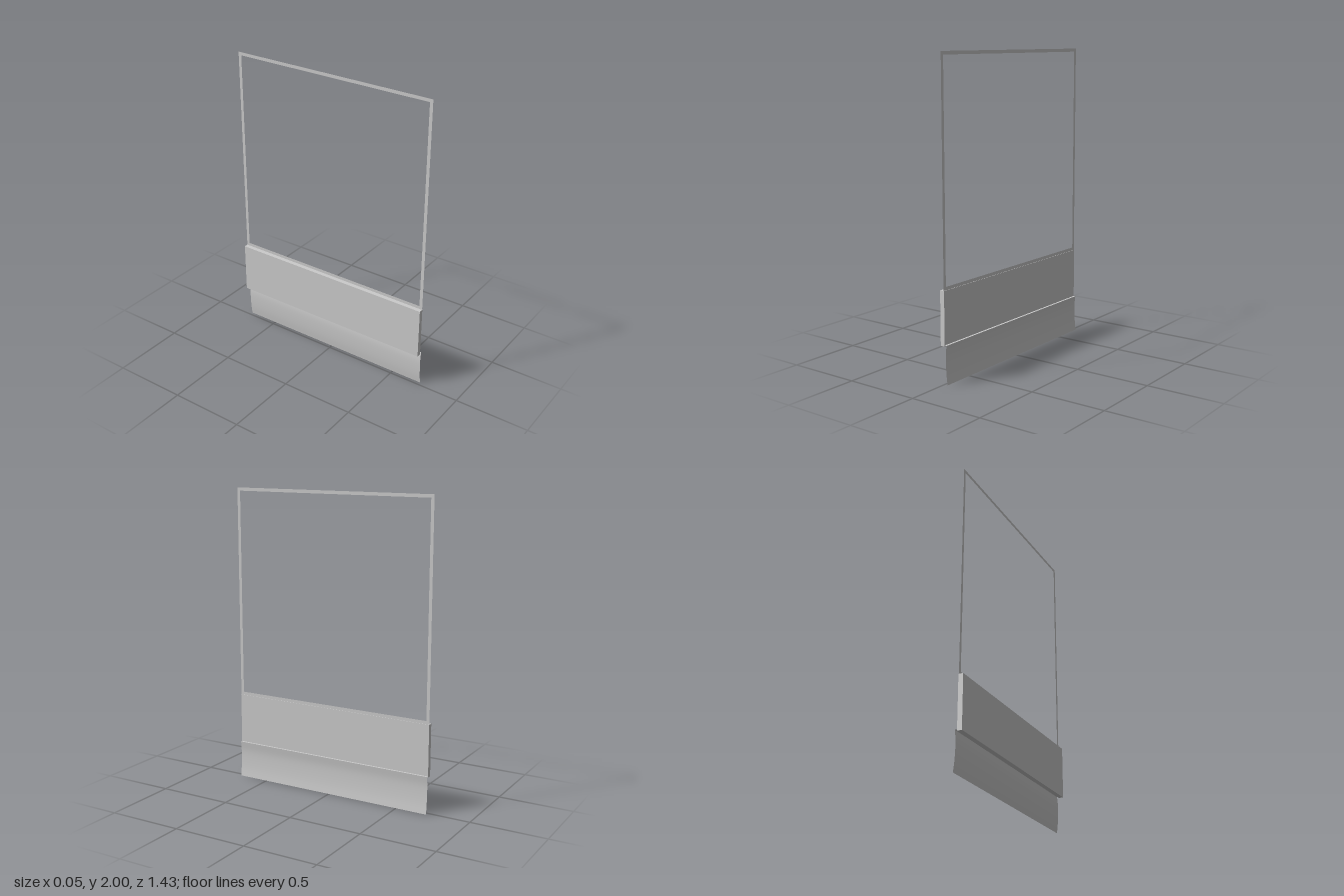
import * as THREE from 'three';

const HALF = 0.713; // half length along z

export function createModel() {
  const group = new THREE.Group();
  const solid = new THREE.MeshStandardMaterial({ color: 0xcccccc });
  const sheet = new THREE.MeshStandardMaterial({ color: 0xcccccc, side: THREE.DoubleSide });
  const add = (name, geometry, material) => {
    const mesh = new THREE.Mesh(geometry, material);
    mesh.name = name;
    group.add(mesh);
    return mesh;
  };

  // rectangle outline, wound either way
  const rect = (path, w, y0, y1) =>
    path.moveTo(-w, y0).lineTo(w, y0).lineTo(w, y1).lineTo(-w, y1).closePath();

  // thin flat window frame standing in the yz plane
  const outline = rect(new THREE.Shape(), HALF, 0.585, 2);
  outline.holes.push(rect(new THREE.Path(), HALF - 0.021, 0.606, 1.979));
  const frame = new THREE.ShapeGeometry(outline);
  frame.rotateY(Math.PI / 2);
  frame.translate(0.003, 0, 0);
  add('windowFrame', frame, sheet);

  // solid rail under the frame
  const rail = new THREE.BoxGeometry(0.031, 0.345, 2 * HALF);
  rail.translate(-0.0095, 0.4125, 0);
  add('rail', rail, solid);

  // thin lower skirt: a lip folded out from the rail, then a slightly bowed sheet
  const bow = new THREE.CatmullRomCurve3([
    new THREE.Vector3(0.02, 0.248, 0),
    new THREE.Vector3(0.014, 0.19, 0),
    new THREE.Vector3(0.014, 0.13, 0),
    new THREE.Vector3(0.018, 0.06, 0),
    new THREE.Vector3(0.025, 0, 0),
  ]).getPoints(12);
  const skirt = new THREE.PlaneGeometry(1, 1, 1, 12);
  const pos = skirt.attributes.position;
  for (let i = 0; i < pos.count; i++) {
    const p = bow[Math.floor(i / 2)];
    pos.setXYZ(i, p.x, p.y, i % 2 ? -HALF : HALF);
  }
  skirt.computeVertexNormals();
  add('skirt', skirt, sheet);

  const lip = new THREE.PlaneGeometry(0.014, 2 * HALF);
  lip.rotateX(-Math.PI / 2);
  lip.translate(0.013, 0.248, 0);
  add('skirtLip', lip, sheet);

  return group;
}
